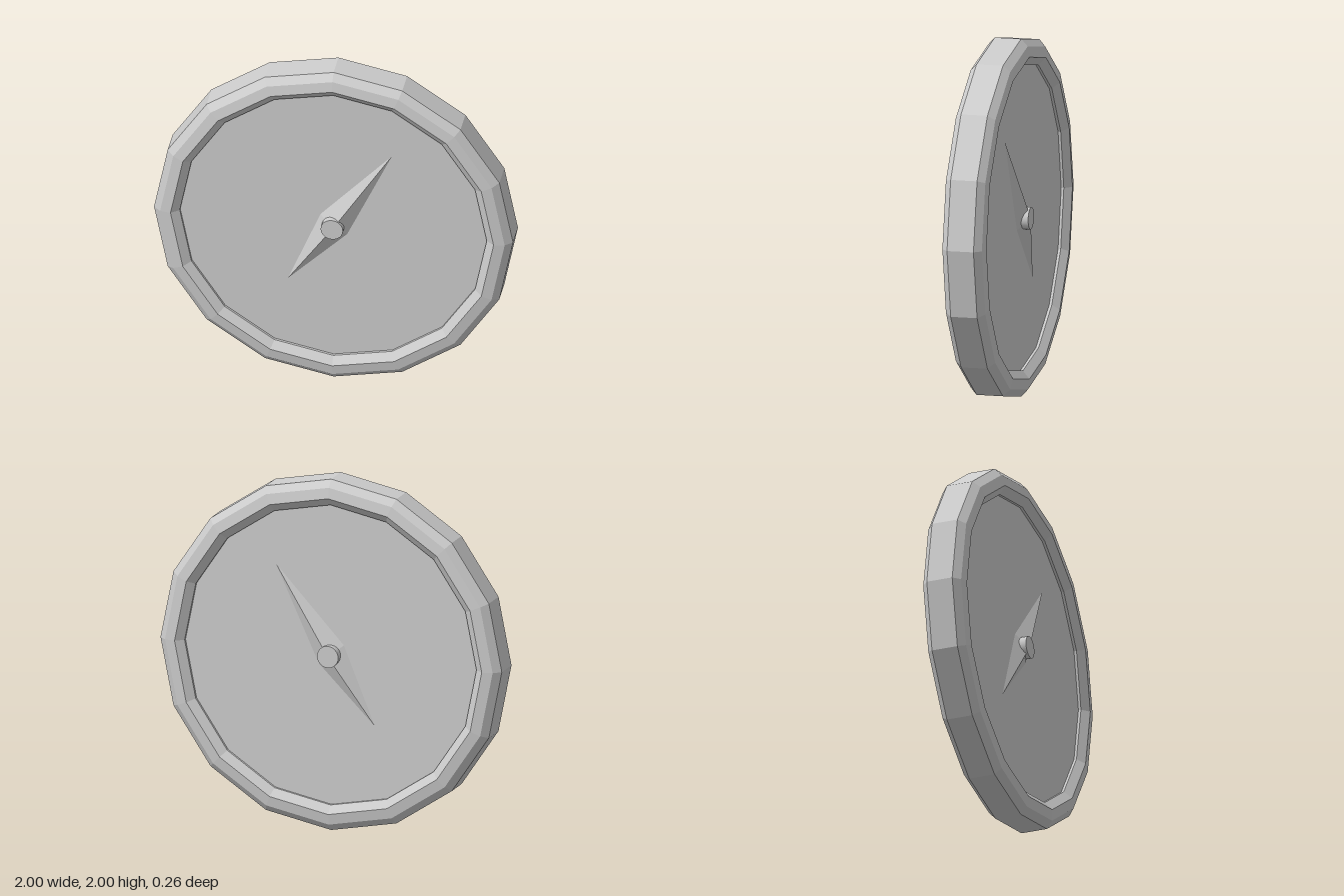
import * as THREE from 'three';

const SIDES = 16;
const DIAL_Z = 0.07;

// Faceted copy: every face gets its own normal
function facet(geometry) {
  const flat = geometry.toNonIndexed();
  flat.computeVertexNormals();
  return flat;
}

export function createModel() {
  const model = new THREE.Group();
  model.name = 'compass';
  const metal = new THREE.MeshStandardMaterial({ color: 0xcccccc });
  metal.name = 'plain grey';

  const body = new THREE.Group();
  body.name = 'body';
  body.position.y = 1;
  model.add(body);

  const add = (name, geometry) => {
    const mesh = new THREE.Mesh(geometry, metal);
    mesh.name = name;
    body.add(mesh);
  };

  // Bevelled rim, symmetric front to back
  const half = [[1, 0.075], [0.96, 0.112], [0.9, 0.122], [0.855, 0.085], [0.855, DIAL_Z - 0.005]];
  const profile = [
    ...half.map(([r, z]) => new THREE.Vector2(r, -z)).reverse(),
    ...half.map(([r, z]) => new THREE.Vector2(r, z)),
  ];
  add('rim', facet(new THREE.LatheGeometry(profile, SIDES).rotateX(Math.PI / 2)));

  // Dial plate filling the rim
  add('dial', facet(new THREE.CylinderGeometry(0.86, 0.86, DIAL_Z * 2, SIDES).rotateX(Math.PI / 2)));

  // Ridged needle and round hub on each face
  const outline = [[0.325, 0.485], [-0.073, 0.058], [-0.255, -0.385], [0.075, -0.057]];
  for (const side of [1, -1]) {
    const label = side > 0 ? 'front' : 'back';
    const base = outline.map(([x, y]) => [x, y, side * (DIAL_Z + 0.001)]);
    const apex = [0, 0, side * 0.129];
    const corners = base.flatMap((p, i) => {
      const next = base[(i + 1) % base.length];
      return side > 0 ? [p, next, apex] : [next, p, apex];
    });
    const needle = new THREE.BufferGeometry();
    needle.setAttribute('position', new THREE.Float32BufferAttribute(corners.flat(), 3));
    needle.computeVertexNormals();
    add(label + 'Needle', needle);

    const hub = new THREE.CylinderGeometry(0.062, 0.062, 0.06, 24).rotateX(Math.PI / 2);
    add(label + 'Hub', hub.translate(0, 0, side * 0.101));
  }
  return model;
}
